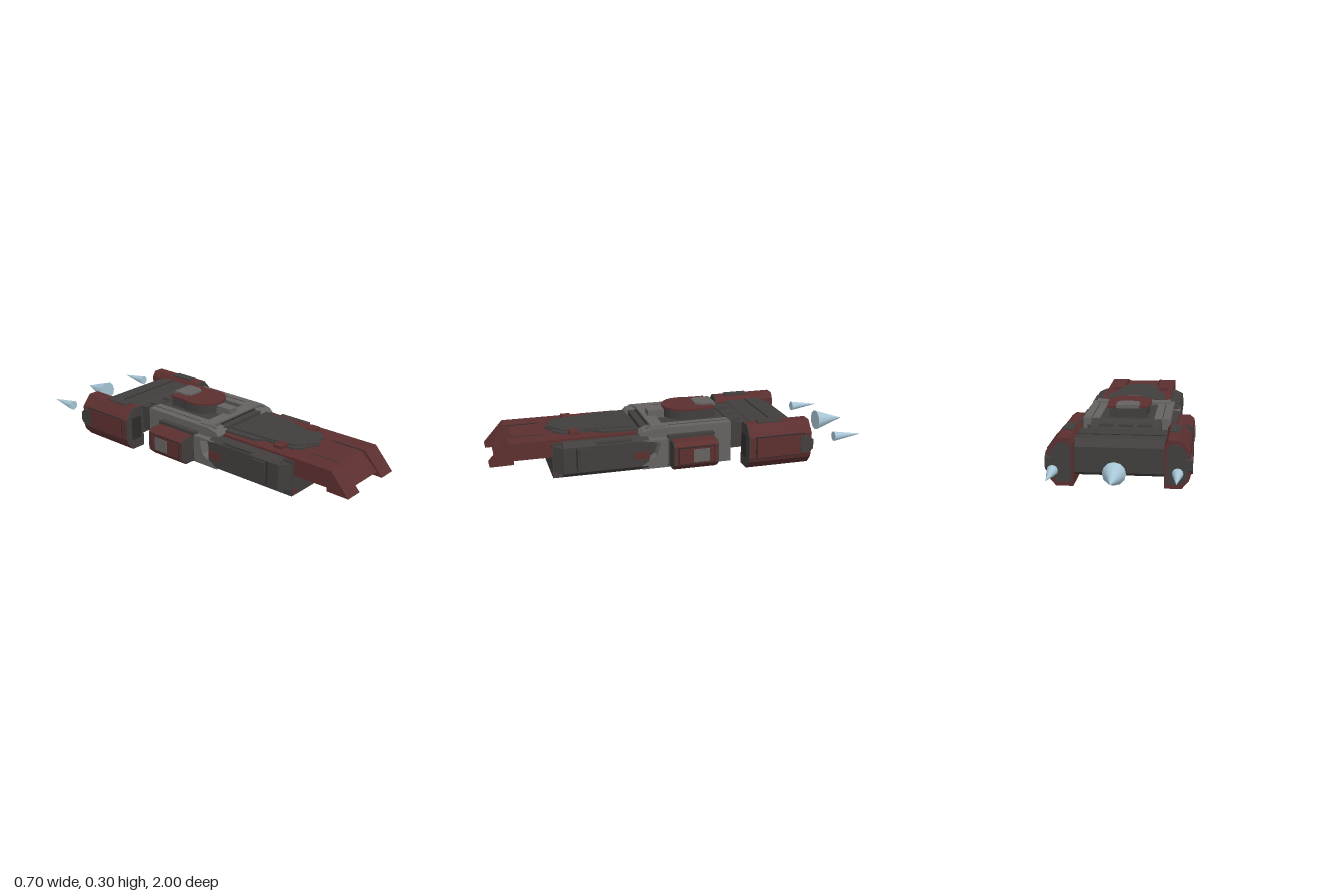
import * as THREE from 'three';

const paint = (name, color) => {
  const m = new THREE.MeshStandardMaterial({ color });
  m.name = name;
  return m;
};

export function createModel() {
  const red = paint('maroon armour', 0x5c2f2f);
  const dark = paint('dark hull', 0x413e3d);
  const grey = paint('grey plating', 0x656261);
  const black = paint('shadow trim', 0x2e2b2b);
  const blue = paint('exhaust blue', 0xa9c8d8);

  const model = new THREE.Group();
  model.name = 'spaceship';
  const add = (name, mat, geo) => {
    const mesh = new THREE.Mesh(geo, mat);
    mesh.name = name;
    model.add(mesh);
    return mesh;
  };
  const box = (name, mat, x0, x1, y0, y1, z0, z1) => add(name, mat,
    new THREE.BoxGeometry(Math.abs(x1 - x0), y1 - y0, z1 - z0)
      .translate((x0 + x1) / 2, (y0 + y1) / 2, (z0 + z1) / 2));
  const extrude = (pts, depth) => new THREE.ExtrudeGeometry(
    new THREE.Shape(pts.map(p => new THREE.Vector2(p[0], p[1]))), { depth, bevelEnabled: false });
  // Profiles drawn as [x, y], [z, y] and [x, z]
  const alongZ = (name, mat, pts, z0, z1) => add(name, mat, extrude(pts, z1 - z0).translate(0, 0, z0));
  const alongX = (name, mat, pts, x0, x1) => add(name, mat,
    extrude(pts, Math.abs(x1 - x0)).rotateY(-Math.PI / 2).translate(Math.max(x0, x1), 0, 0));
  const alongY = (name, mat, pts, y0, y1) => add(name, mat,
    extrude(pts, y1 - y0).rotateX(Math.PI / 2).translate(0, y1, 0));
  const mirror = pts => [...pts, ...pts.filter(p => p[0] > 0).reverse().map(p => [-p[0], p[1]])];
  const flip = (pts, s) => pts.map(p => [p[0] * s, p[1]]);
  const shrink = (pts, cx, cy, k) => pts.map(p => [cx + (p[0] - cx) * k, cy + (p[1] - cy) * k]);

  // Main hull
  box('hullCore', dark, -0.205, 0.205, 0.015, 0.2, -0.25, 0.69);
  alongZ('hullBody', dark, mirror([[0.205, 0.016], [0.255, 0.05], [0.255, 0.185], [0.215, 0.205]]), 0.2, 0.64);
  alongY('hullFlanks', dark, mirror([[0.2, 0.69], [0.255, 0.64], [0.255, 0.2]]), 0.05, 0.185);
  box('podMount', dark, -0.255, 0.255, 0.04, 0.2, -0.15, 0.1);

  // Overhanging wedge nose, with a recessed middle panel
  const nose = [[0.25, 0.195], [0.69, 0.125], [0.88, 0.125], [0.88, 0.105], [1, 0.103], [0.9, 0.216], [0.25, 0.216]];
  const middle = [[0.25, 0.195], [0.69, 0.125], [0.97, 0.125], [0.875, 0.214], [0.25, 0.214]];
  alongX('noseMiddle', red, middle, -0.1, 0.1);
  for (const s of [1, -1]) {
    alongX('noseCheek', red, nose, s * 0.1, s * 0.197);
    box('noseRib', black, s * 0.094, s * 0.1, 0.207, 0.2165, 0.72, 0.88);
    box('hullFrontMark', red, s * 0.165, s * 0.198, 0.022, 0.052, 0.688, 0.693);
    box('hullSideMark', red, s * 0.252, s * 0.258, 0.09, 0.13, 0.2, 0.28);
    box('hullSidePanel', black, s * 0.252, s * 0.258, 0.06, 0.18, 0.57, 0.577);
    box('hullSideHatch', dark, s * 0.25, s * 0.262, 0.13, 0.175, 0.48, 0.56);
    box('hullSideRail', dark, s * 0.21, s * 0.25, 0.18, 0.2, 0.29, 0.47);
    box('nosePatch', red, s * 0.1, s * 0.165, 0.22, 0.2345, 0.54, 0.59);
  }

  // Raised dark deck on the nose
  alongY('foredeck', dark, mirror([[0, 0.7], [0.05, 0.665], [0.075, 0.67], [0.12, 0.63], [0.125, 0.46],
    [0.16, 0.42], [0.17, 0.24]]), 0.2, 0.225);
  alongY('foredeckPlate', dark, mirror([[0, 0.69], [0.05, 0.655], [0.1, 0.62], [0.12, 0.45], [0.13, 0.25]]), 0.22, 0.232);

  // Grey midsection armour
  const armour = [[-0.25, 0.02], [0.23, 0.02], [0.1, 0.085], [0.1, 0.17], [0.24, 0.205], [0.22, 0.225],
    [0.17, 0.236], [-0.25, 0.236]];
  for (const s of [1, -1]) {
    alongX('midArmour', grey, armour, s * 0.14, s * 0.225);
    alongX('lowerArmour', grey, [[0.1, 0.05], [0.24, 0.05], [0.16, 0.1], [0.14, 0.17], [0.24, 0.187], [0.1, 0.187]],
      s * 0.2, s * 0.258);
    box('deckEdge', dark, s * 0.18, s * 0.184, 0.23, 0.2375, -0.24, 0.08);
    box('barEnd', grey, s * 0.19, s * 0.205, 0.21, 0.242, 0.1, 0.2);
  }
  box('deckFloor', dark, -0.15, 0.15, 0.19, 0.228, -0.25, 0.22);
  box('crossBar', grey, -0.195, 0.195, 0.2, 0.243, 0.11, 0.175);
  box('crossBarShadow', black, -0.195, 0.195, 0.2, 0.234, 0.175, 0.182);
  box('turretArm', grey, -0.03, 0.03, 0.22, 0.272, 0.06, 0.15);

  // Turret: round front, squared rear
  const turret = r => {
    const pts = [[-r * 0.93, -0.2], [-r * 0.93, -0.12], [-r, -0.09]];
    for (let i = 0; i <= 16; i++) {
      const a = Math.PI - i * Math.PI / 16;
      pts.push([r * Math.cos(a), -0.05 + r * Math.sin(a)]);
    }
    return [...pts, [r, -0.09], [r * 0.93, -0.12], [r * 0.93, -0.2]];
  };
  alongY('turretBase', dark, turret(0.104), 0.22, 0.28);
  alongY('turretCap', red, turret(0.115), 0.278, 0.288);
  alongY('turretHatch', grey, mirror([[0.06, -0.215], [0.06, -0.14], [0.04, -0.11]]), 0.28, 0.298);

  // Neck and bridge between the engines
  alongX('neck', dark, [[-0.25, 0.075], [-0.25, 0.234], [-0.31, 0.212], [-0.37, 0.205], [-0.37, 0.075]], -0.18, 0.18);
  for (const x of [-0.1, 0, 0.1]) box('neckRib', dark, x - 0.035, x + 0.035, 0.18, 0.222, -0.33, -0.25);
  alongX('engineBridge', dark, [[-0.35, 0.05], [-0.35, 0.19], [-0.38, 0.212], [-0.57, 0.212], [-0.63, 0.185],
    [-0.63, 0.06], [-0.6, 0.04], [-0.38, 0.04]], -0.22, 0.22);
  box('bridgeSeam', black, -0.218, 0.218, 0.2, 0.2135, -0.495, -0.487);
  box('bridgeBelly', black, -0.2, 0.2, 0.037, 0.045, -0.59, -0.39);

  // Engines, side pods and exhaust cones
  const engine = [[0.215, 0], [0.298, 0], [0.332, 0.04], [0.34, 0.065], [0.34, 0.175], [0.325, 0.195],
    [0.29, 0.234], [0.232, 0.234], [0.215, 0.205]];
  const pod = [[0.25, 0.035], [0.305, 0.035], [0.338, 0.065], [0.338, 0.165], [0.315, 0.183], [0.25, 0.183]];
  for (const s of [1, -1]) {
    alongZ('engineShell', red, flip(engine, s), -0.66, -0.318);
    alongZ('engineFront', dark, flip(engine, s), -0.318, -0.312);
    alongZ('engineRear', dark, flip(shrink(engine, 0.275, 0.118, 0.82), s), -0.666, -0.659);
    box('engineIntake', black, s * 0.235, s * 0.3, 0.055, 0.18, -0.313, -0.308);
    box('engineTopPlate', dark, s * 0.235, s * 0.287, 0.23, 0.241, -0.51, -0.38);
    box('engineSideFrame', black, s * 0.335, s * 0.342, 0.06, 0.178, -0.62, -0.35);
    box('engineSidePanel', red, s * 0.335, s * 0.347, 0.066, 0.172, -0.614, -0.356);
    alongX('engineNub', dark, [[-0.595, 0.08], [-0.595, 0.16], [-0.64, 0.165], [-0.668, 0.14], [-0.668, 0.09], [-0.64, 0.07]],
      s * 0.31, s * 0.349);

    alongZ('podShell', red, flip(pod, s), -0.14, 0.085);
    alongZ('podFront', dark, flip(shrink(pod, 0.29, 0.11, 0.97), s), 0.085, 0.091);
    alongZ('podRear', dark, flip(shrink(pod, 0.29, 0.11, 0.97), s), -0.147, -0.14);
    box('podFrame', black, s * 0.33, s * 0.34, 0.068, 0.16, -0.125, 0.07);
    box('podPanel', red, s * 0.33, s * 0.343, 0.073, 0.155, -0.12, 0.065);
    box('podWindow', grey, s * 0.33, s * 0.347, 0.08, 0.148, -0.095, -0.01);
  }
  for (const [x, r, z] of [[0, 0.055, -0.84], [0.285, 0.026, -0.815], [-0.285, 0.026, -0.815]])
    add('exhaustCone', blue, new THREE.ConeGeometry(r, 0.16, 12).rotateX(-Math.PI / 2).translate(x, 0.122, z - 0.08));

  return model;
}
